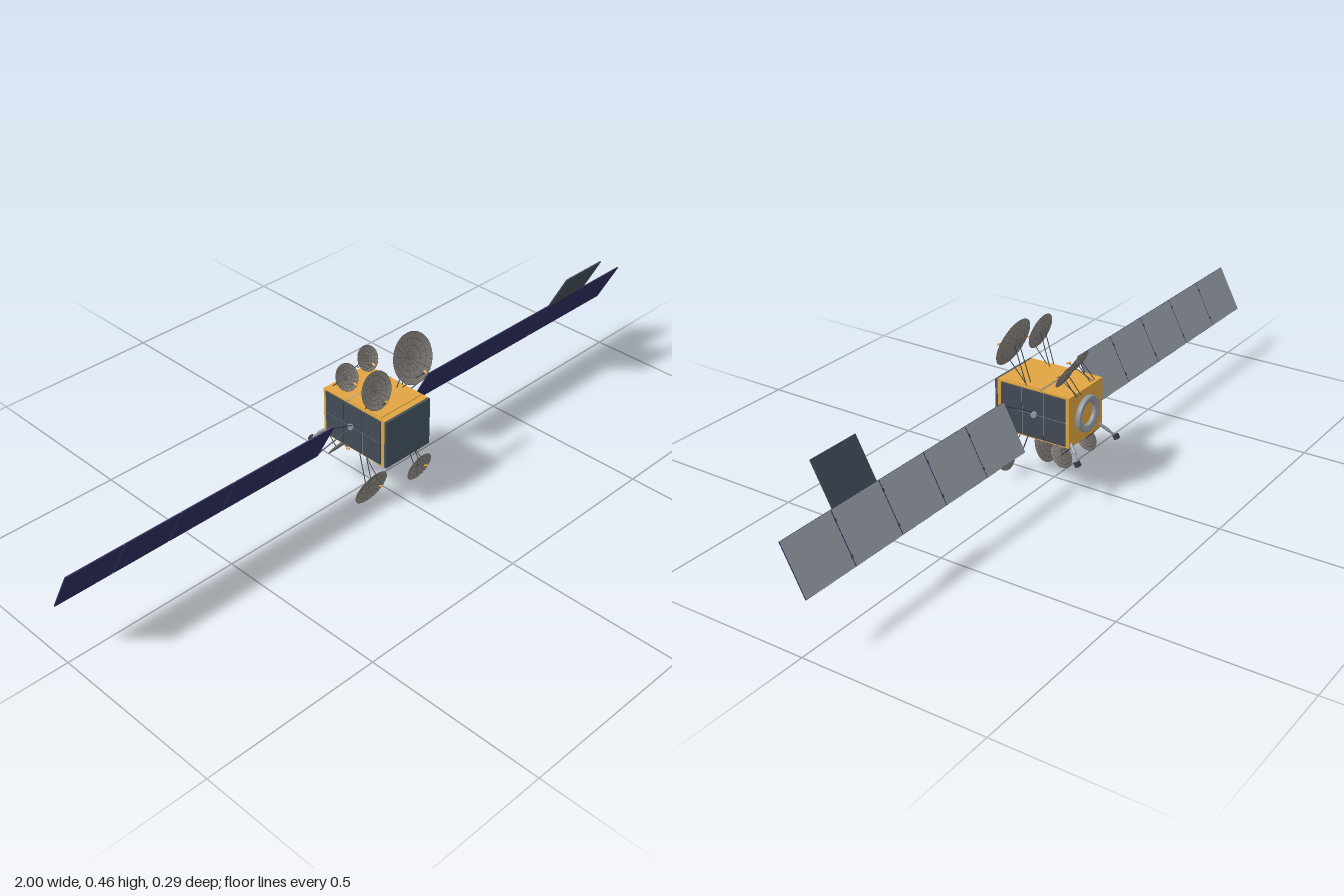
import * as THREE from 'three';

const mat = (name, color, double) => {
  const m = new THREE.MeshStandardMaterial({ color });
  m.name = name;
  if (double) m.side = THREE.DoubleSide;
  return m;
};

export function createModel() {
  const gold = mat('gold foil', 0xe0a440);
  const slate = mat('slate radiator', 0x424b57);
  const teal = mat('front slate', 0x44535f);
  const navy = mat('navy solar cell', 0x2f2d5c);
  const grey = mat('grey panel back', 0x959ca6);
  const dark = mat('dark strut', 0x3c3f45);
  const meshGrey = mat('dish mesh', 0x8a8580, true);
  const ribGrey = mat('dish rib', 0x575452);

  const model = new THREE.Group();
  model.name = 'satellite';

  const add = (parent, name, geo, material, x = 0, y = 0, z = 0) => {
    const m = new THREE.Mesh(geo, material);
    m.name = name;
    m.position.set(x, y, z);
    parent.add(m);
    return m;
  };
  const box = (parent, name, w, h, d, material, x, y, z) =>
    add(parent, name, new THREE.BoxGeometry(w, h, d), material, x, y, z);
  const V = (x, y, z) => new THREE.Vector3(x, y, z);
  const UP = V(0, 1, 0);
  // round bar between two points
  const bar = (parent, name, a, b, r, material, r2 = r) => {
    const dir = b.clone().sub(a);
    const m = add(parent, name, new THREE.CylinderGeometry(r2, r, dir.length(), 8), material);
    m.position.copy(a).add(b).multiplyScalar(0.5);
    m.quaternion.setFromUnitVectors(UP, dir.normalize());
    return m;
  };

  // body
  const cy = 0.2185;
  box(model, 'body', 0.16, 0.143, 0.223, gold, 0, cy, 0.0135);
  box(model, 'frontRadiator', 0.162, 0.141, 0.007, teal, 0, cy, 0.1285);
  for (const s of [1, -1]) {
    box(model, 'deckPlate', 0.15, 0.003, 0.116, gold, 0, cy + s * 0.0725, 0.049);
    box(model, 'deckSeam', 0.16, 0.002, 0.003, grey, 0, cy + s * 0.0722, -0.011);
    box(model, 'sideDivider', 0.002, 0.003, 0.2, grey, s * 0.0805, cy, 0.0125);
    box(model, 'sideDivider', 0.002, 0.134, 0.003, grey, s * 0.0805, cy, 0.0463);
    for (let c = 0; c < 3; c++)
      for (let r = 0; r < 2; r++)
        box(model, 'sideRadiator', 0.004, 0.066, 0.065, slate,
          s * 0.081, cy - 0.034 + r * 0.068, 0.08 - c * 0.0675);
  }

  // ring on the back face
  const ring = new THREE.LatheGeometry([
    [0.032, 0], [0.05, 0], [0.05, 0.012], [0.046, 0.013], [0.038, 0.009], [0.032, 0.009], [0.032, 0],
  ].map(([x, y]) => new THREE.Vector2(x, y)), 40);
  add(model, 'adapterRing', ring, grey, 0, cy, -0.098).rotation.x = -Math.PI / 2;

  // solar wings, leaning forward at the top
  const wings = new THREE.Group();
  wings.name = 'solarWings';
  wings.position.set(0, 0.2195, 0.007);
  wings.rotation.x = 0.485;
  model.add(wings);
  const H = 0.14, step = 0.1654, W = 0.1625;
  const panel = (name, x, y, w, h, front, back) => {
    box(wings, name + 'Front', w, h, 0.003, front, x, y, 0.0005);
    box(wings, name + 'Back', w - 0.001, h - 0.001, 0.001, back, x, y, -0.0015);
  };
  for (const s of [1, -1]) {
    for (let i = 0; i < 5; i++) {
      const x = 0.173 + step * i + step / 2;
      panel('solarPanel', s * x, 0, W, H, navy, grey);
      if (i > 0)
        for (const y of [-0.045, 0.045])
          box(wings, 'hinge', 0.006, 0.008, 0.002, dark, s * (x - step / 2), y, -0.0016);
    }
    for (const y of [1, -1])
      bar(wings, 'yokeArm', V(s * 0.082, y * 0.006, 0), V(s * 0.176, y * 0.06, 0), 0.0016, dark);
    bar(wings, 'wingHub', V(s * 0.08, 0, 0), V(s * 0.09, 0, 0), 0.01, grey, 0.008);
  }
  // extra panel above the fourth one of the left wing
  panel('extraPanel', 0.752, H / 2 + 0.06, 0.153, 0.12, slate, slate);

  // mesh reflector dish with its feed and struts
  const dish = (name, x, y, z, r, ny, nz, feedY, feedZ, rootZ, feedRootZ) => {
    const g = new THREE.Group();
    g.name = name;
    model.add(g);
    const bowl = new THREE.Group();
    bowl.name = 'reflector';
    bowl.position.set(x, y, z);
    const n = V(0, ny, nz).normalize();
    bowl.quaternion.setFromUnitVectors(UP, n);
    g.add(bowl);
    const depth = 0.17 * r;
    const prof = (t) => depth * (t * t - 0.6);
    const pts = [];
    for (let i = 0; i <= 8; i++) pts.push(new THREE.Vector2((r * i) / 8, prof(i / 8)));
    add(bowl, 'meshBowl', new THREE.LatheGeometry(pts, 32), meshGrey);
    // ribs and rings of the mesh
    for (const t of [0.25, 0.5, 0.75, 1])
      add(bowl, 'meshRing', new THREE.TorusGeometry(r * t, 0.0006, 4, 32), ribGrey, 0, prof(t), 0)
        .rotation.x = Math.PI / 2;
    for (let k = 0; k < 16; k++) {
      const a = (k * Math.PI) / 8, c = Math.cos(a), s = Math.sin(a);
      const path = new THREE.CatmullRomCurve3([0.05, 0.5, 1].map((t) => V(r * t * c, prof(t), r * t * s)));
      add(bowl, 'meshRib', new THREE.TubeGeometry(path, 5, 0.0005, 4), ribGrey);
    }
    // struts start on the top or bottom deck
    const rootY = cy + Math.sign(y - cy) * 0.071;
    const rx = Math.sign(x) * Math.min(Math.abs(x), 0.064);
    const back = V(x, y, z).addScaledVector(n, -depth * 0.6);
    for (const o of [-0.01, 0.01])
      bar(g, 'dishStrut', V(rx + o, rootY, rootZ), back.clone().add(V(o, 0, 0)), 0.0012, dark);
    const feed = V(x * 0.95, feedY, feedZ);
    bar(g, 'feedStrut', V(rx, rootY, feedRootZ), feed, 0.0012, dark);
    const aim = V(x, y, z).sub(feed).normalize();
    bar(g, 'feedHorn', feed.clone().addScaledVector(aim, -0.005),
      feed.clone().addScaledVector(aim, 0.005), 0.0025, gold, 0.0035);
  };
  dish('upperLeftDish', 0.064, 0.397, 0.08, 0.069, 0.33, 0.94, 0.379, 0.132, 0.037, 0.045);
  dish('upperRightDish', -0.083, 0.373, 0.096, 0.051, 0.27, 0.96, 0.352, 0.132, 0.05, 0.064);
  dish('lowerRightDish', -0.076, 0.055, 0.07, 0.055, -0.31, 0.95, 0.075, 0.108, 0.027, 0.03);
  dish('lowerLeftDish', 0.068, 0.067, 0.108, 0.043, -0.24, 0.97, 0.087, 0.139, 0.064, 0.066);
  dish('upperRearRightDish', -0.047, 0.331, -0.046, 0.037, 0.5, 0.86, 0.323, -0.015, -0.088, -0.09);
  dish('upperRearLeftDish', 0.053, 0.334, -0.07, 0.035, 0.46, 0.89, 0.327, -0.043, -0.11, -0.108);
  dish('lowerRearRightDish', -0.06, 0.112, -0.064, 0.036, -0.65, 0.76, 0.117, -0.032, -0.097, -0.097);
  dish('lowerRearLeftDish', 0.06, 0.112, -0.064, 0.036, -0.65, 0.76, 0.111, -0.041, -0.097, -0.097);

  // jointed thruster arms at the lower back corners
  for (const s of [1, -1]) {
    const a = V(s * 0.068, 0.16, -0.094), b = V(s * 0.082, 0.14, -0.117), c = V(s * 0.095, 0.12, -0.132);
    bar(model, 'armUpper', a, b, 0.0045, grey);
    bar(model, 'armLower', b, c, 0.0035, grey);
    add(model, 'armJoint', new THREE.SphereGeometry(0.005, 12, 8), grey, b.x, b.y, b.z);
    box(model, 'thrusterHead', 0.013, 0.014, 0.012, dark, c.x, c.y, c.z - 0.002).rotation.x = 0.45;
  }

  return model;
}
